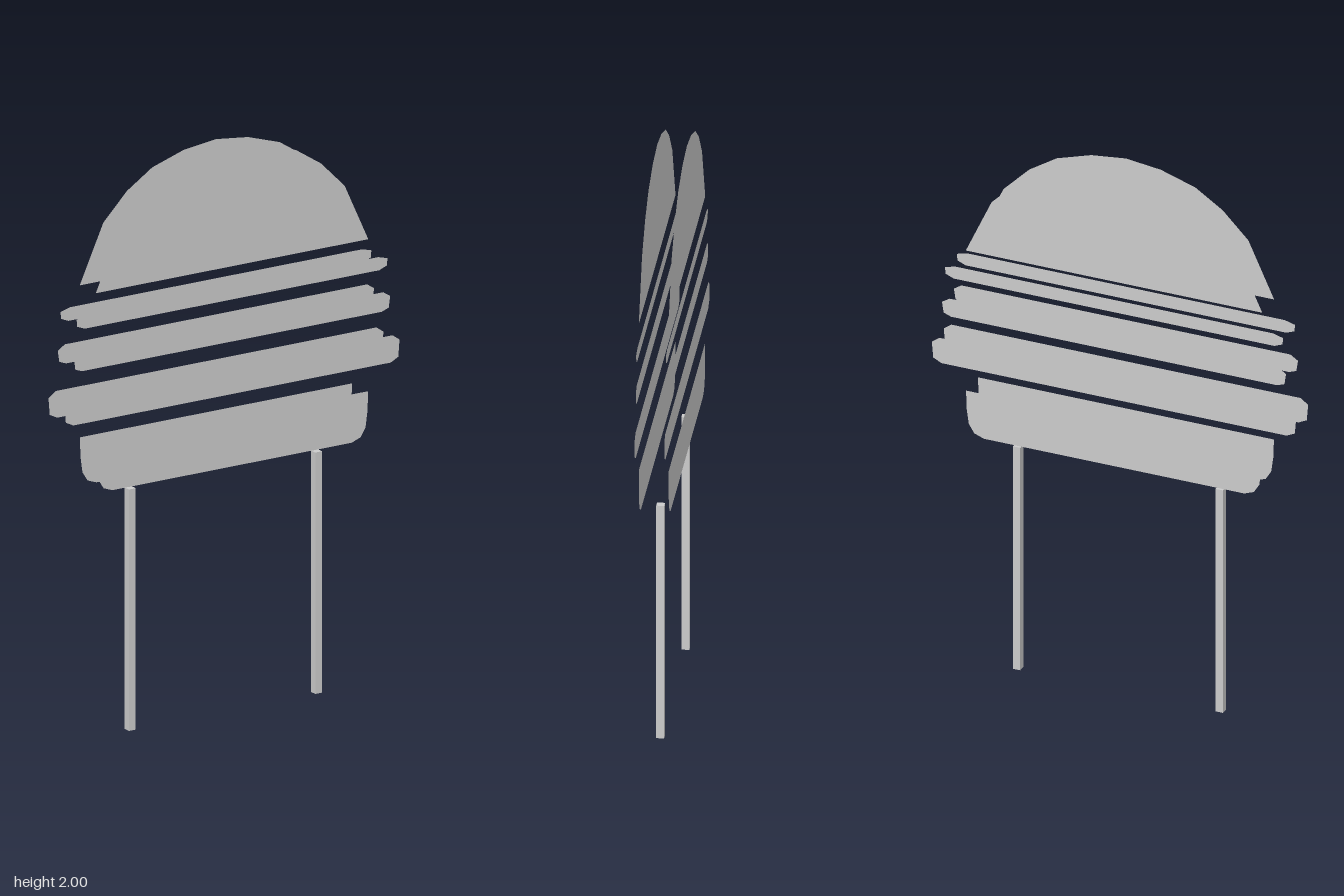
import * as THREE from 'three';

const material = new THREE.MeshStandardMaterial({ color: 0xcccccc, side: THREE.DoubleSide, flatShading: true });

const POST_HEIGHT = 0.85;
const POST_WIDTH = 0.027;
const SHEET_Z = 0.05;

// Right half of each panel outline as [x, y], from bottom to top; mirrored for the left half
const panels = {
  basePanel: [[0.475, 0.875], [0.51, 0.888], [0.53, 0.92], [0.538, 0.977], [0.54, 1.045]],
  lowerSlat: [[0.63, 1.13], [0.66, 1.145], [0.665, 1.205], [0.637, 1.225]],
  middleSlat: [[0.595, 1.315], [0.622, 1.325], [0.628, 1.365], [0.6, 1.383]],
  upperSlat: [[0.585, 1.463], [0.615, 1.475], [0.617, 1.5], [0.58, 1.51]],
  domePanel: [[0.541, 1.58], [0.447, 1.785], [0.353, 1.88], [0.253, 1.945], [0.127, 1.985], [0, 2]],
};

function mirroredShape(half) {
  const left = half.filter(([x]) => x > 0).reverse().map(([x, y]) => [-x, y]);
  return new THREE.Shape([...half, ...left].map(([x, y]) => new THREE.Vector2(x, y)));
}

export function createModel() {
  const model = new THREE.Group();
  model.name = 'panelSign';

  // Each panel is a pair of thin parallel sheets, front and back
  for (const [name, half] of Object.entries(panels)) {
    const panel = new THREE.Group();
    panel.name = name;
    const geometry = new THREE.ShapeGeometry(mirroredShape(half));
    for (const side of [1, -1]) {
      const sheet = new THREE.Mesh(geometry, material);
      sheet.name = side > 0 ? 'frontSheet' : 'backSheet';
      sheet.position.z = side * SHEET_Z;
      if (side < 0) sheet.rotation.y = Math.PI;
      panel.add(sheet);
    }
    model.add(panel);
  }

  // Two slim square posts
  const postGeometry = new THREE.BoxGeometry(POST_WIDTH, POST_HEIGHT, POST_WIDTH);
  for (const side of [1, -1]) {
    const post = new THREE.Mesh(postGeometry, material);
    post.name = side > 0 ? 'leftPost' : 'rightPost';
    post.position.set(side * 0.37, POST_HEIGHT / 2, -0.004);
    model.add(post);
  }

  return model;
}
